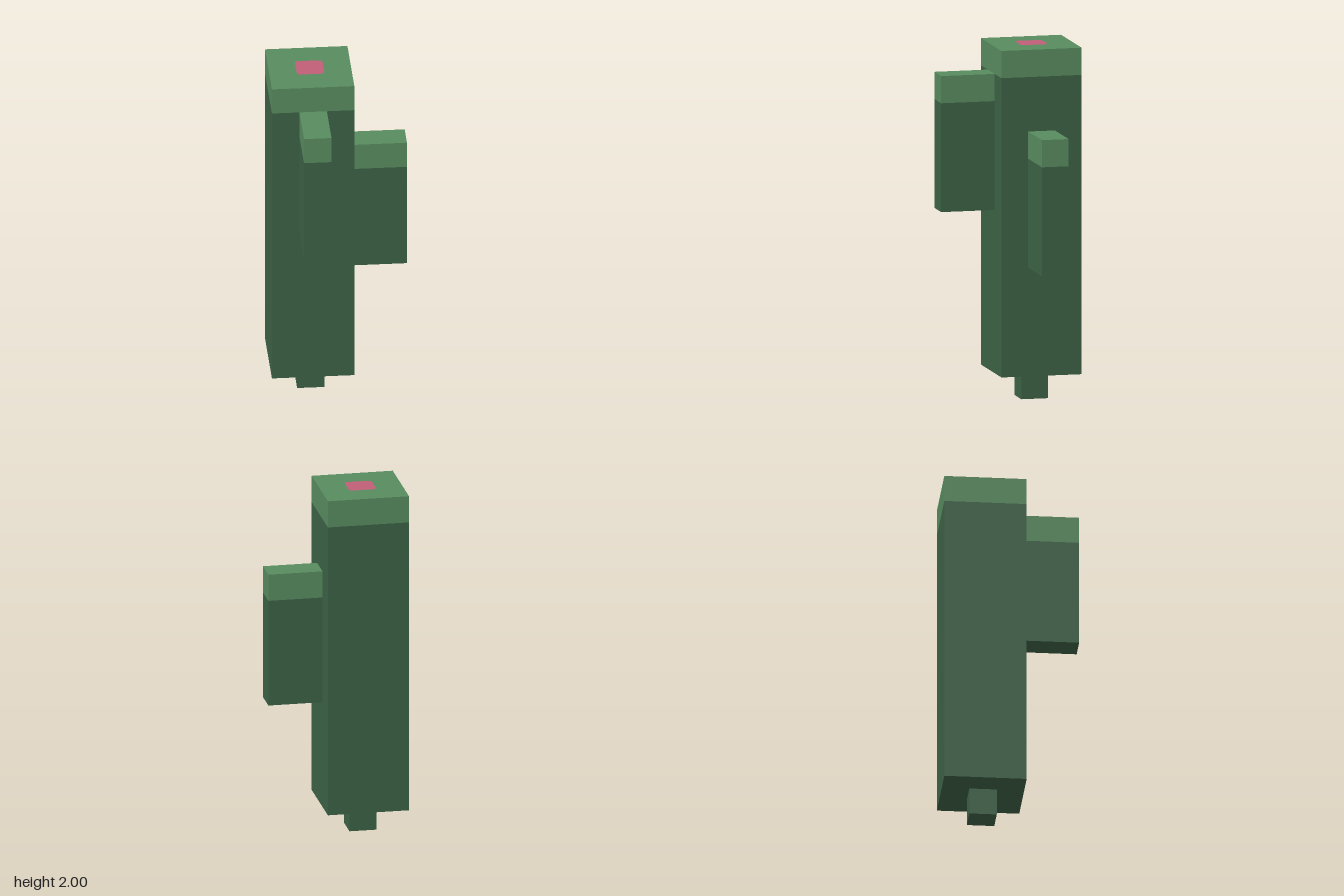
import * as THREE from 'three';

const U = 2 / 13; // one block unit

export function createModel() {
  const mat = (name, color) => {
    const m = new THREE.MeshStandardMaterial({ color });
    m.name = name;
    return m;
  };
  const darkGreen = mat('darkGreen', 0x3c6246);
  const lightGreen = mat('lightGreen', 0x588c5f);
  const pink = mat('flowerPink', 0xc05f77);

  // Box given by its lower corner and size in units; skip lists hidden sides
  // (0 +x, 1 -x, 2 +y, 3 -y, 4 +z, 5 -z)
  function block(name, [x, y, z], [w, h, d], material, skip = []) {
    const g = new THREE.BoxGeometry(w * U, h * U, d * U);
    const index = Array.from(g.index.array).filter((_, i) => !skip.includes(Math.floor(i / 6)));
    g.setIndex(index);
    g.clearGroups();
    g.translate((x + w / 2) * U, (y + h / 2) * U, (z + d / 2) * U);
    const mesh = new THREE.Mesh(g, material);
    mesh.name = name;
    return mesh;
  }

  // Dark column with a one-unit light tip
  function column(name, [x, y, z], [w, h, d]) {
    const group = new THREE.Group();
    group.name = name;
    group.add(
      block(name + 'Stem', [x, y, z], [w, h - 1, d], darkGreen, [2]),
      block(name + 'Tip', [x, y + h - 1, z], [w, 1, d], lightGreen, [3])
    );
    return group;
  }

  const model = new THREE.Group();
  model.name = 'cactus';
  model.add(
    block('foot', [-1.5, 0, -1.5], [1, 1, 1], darkGreen),
    column('trunk', [-2.5, 1, -2.5], [3, 12, 3]),
    column('leftArm', [0.5, 5, -1.5], [2, 5, 1]),
    column('frontArm', [-1.5, 7, 0.5], [1, 5, 2])
  );

  // Rounded flower patch on the trunk top
  const a = U / 2, r = 0.02;
  const s = new THREE.Shape();
  s.absarc(a - r, a - r, r, 0, Math.PI / 2);
  s.absarc(-a + r, a - r, r, Math.PI / 2, Math.PI);
  s.absarc(-a + r, -a + r, r, Math.PI, Math.PI * 1.5);
  s.absarc(a - r, -a + r, r, Math.PI * 1.5, Math.PI * 2);
  const patch = new THREE.Mesh(new THREE.ShapeGeometry(s, 4), pink);
  patch.name = 'flower';
  patch.rotation.x = -Math.PI / 2;
  patch.position.set(-U, 2.002, -U);
  model.add(patch);

  return model;
}
